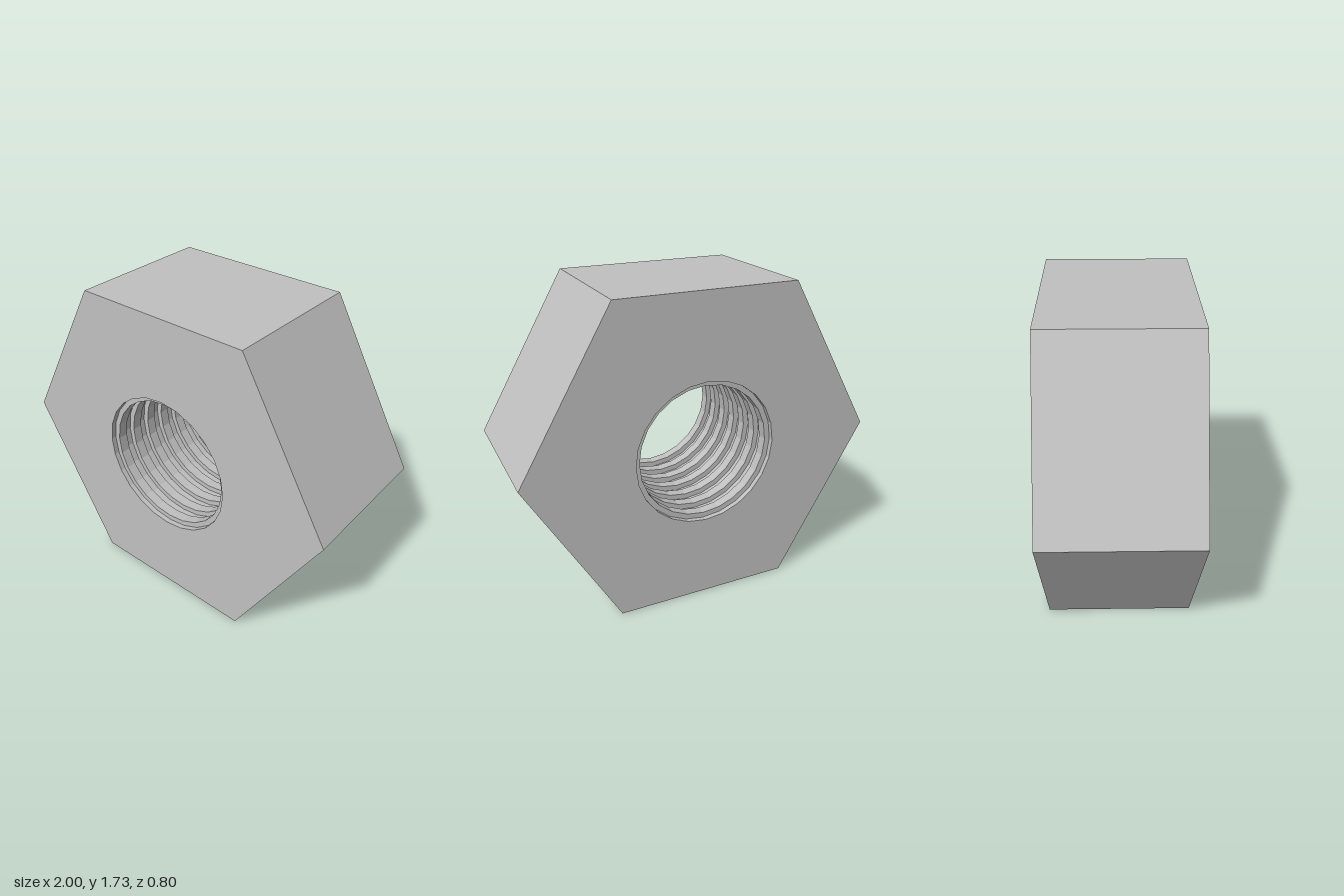
import * as THREE from 'three';

const HEX_RADIUS = 1, DEPTH = 0.8, BORE = 0.4, CREST = 0.37, SIDES = 24, RINGS = 7;

// Points of a regular polygon around the origin
function polygon(radius, sides) {
  return Array.from({ length: sides }, (_, i) => {
    const a = (i / sides) * Math.PI * 2;
    return new THREE.Vector2(radius * Math.cos(a), radius * Math.sin(a));
  });
}

// Faceted normals
function faceted(geometry) {
  const flat = geometry.index ? geometry.toNonIndexed() : geometry;
  flat.computeVertexNormals();
  return flat;
}

export function createModel() {
  const steel = new THREE.MeshStandardMaterial({ color: 0xc0c0c0 });
  steel.name = 'steel grey';

  const nut = new THREE.Group();
  nut.name = 'hexNut';
  nut.position.y = HEX_RADIUS * Math.sin(Math.PI / 3);

  // Hexagonal body with a round bore
  const outline = new THREE.Shape(polygon(HEX_RADIUS, 6));
  outline.holes.push(new THREE.Path(polygon(BORE, SIDES).reverse()));
  const bodyGeometry = new THREE.ExtrudeGeometry(outline, { depth: DEPTH, bevelEnabled: false });
  bodyGeometry.translate(0, 0, -DEPTH / 2);
  const body = new THREE.Mesh(faceted(bodyGeometry), steel);
  body.name = 'hexBody';
  nut.add(body);

  // Square-cut thread rings standing out from the bore wall
  const pitch = DEPTH / RINGS, half = pitch / 4;
  const profile = [[BORE, half], [CREST, half], [CREST, -half], [BORE, -half]]
    .map(([r, y]) => new THREE.Vector2(r, y));
  const ringGeometry = faceted(new THREE.LatheGeometry(profile, SIDES).rotateX(Math.PI / 2));
  const thread = new THREE.Group();
  thread.name = 'thread';
  for (let i = 0; i < RINGS; i++) {
    const ring = new THREE.Mesh(ringGeometry, steel);
    ring.name = `threadRing${i + 1}`;
    ring.position.z = (i - (RINGS - 1) / 2) * pitch;
    thread.add(ring);
  }
  nut.add(thread);

  const model = new THREE.Group();
  model.name = 'model';
  model.add(nut);
  return model;
}
